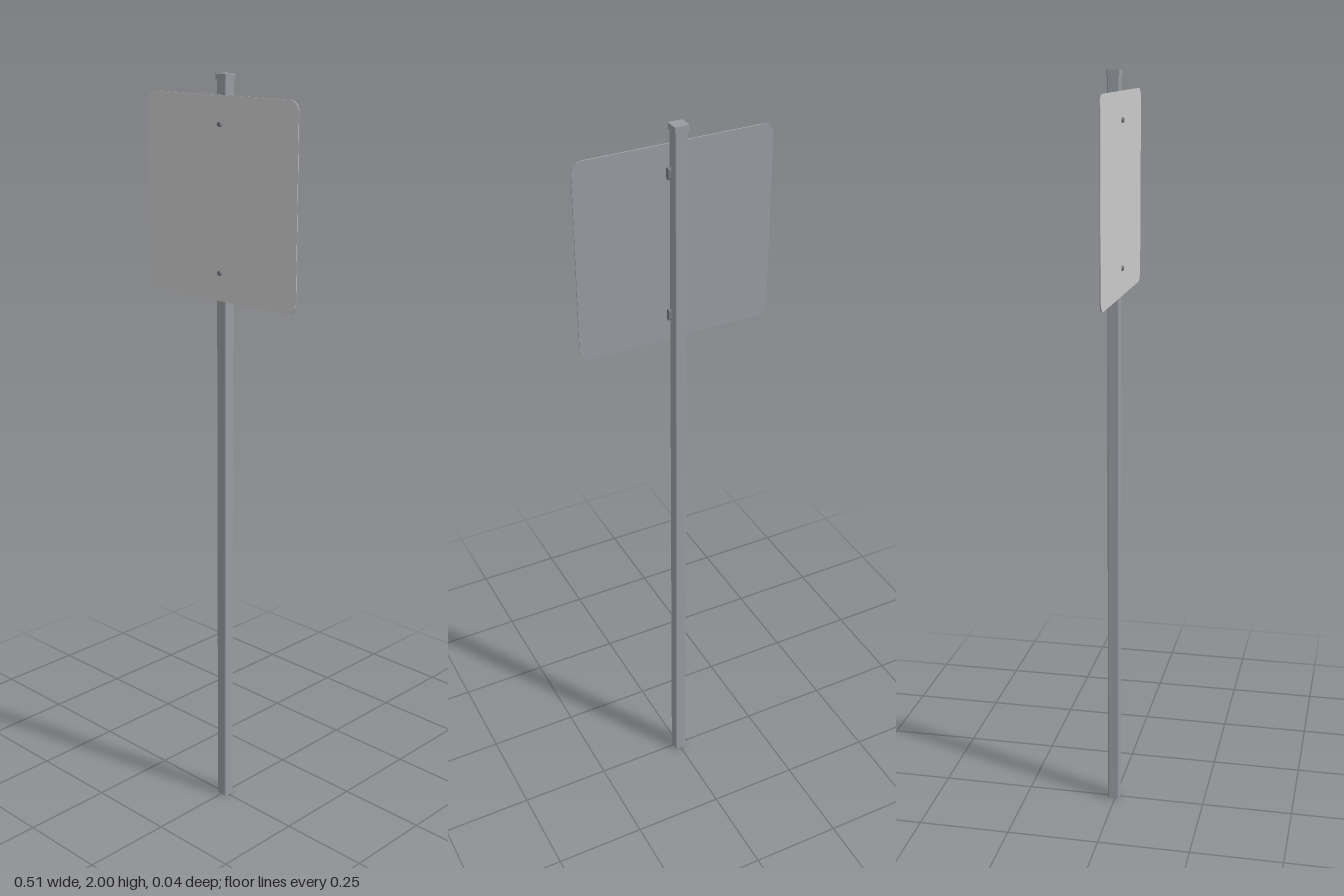
import * as THREE from 'three';

const mat = (name, color) => Object.assign(new THREE.MeshStandardMaterial({ color }), { name });

// Rectangle with rounded or (steps = 1) chamfered corners
function roundedRect(w, h, r) {
  const s = new THREE.Shape();
  const x = w / 2, y = h / 2;
  s.absarc(x - r, y - r, r, 0, Math.PI / 2);
  s.absarc(-x + r, y - r, r, Math.PI / 2, Math.PI);
  s.absarc(-x + r, -y + r, r, Math.PI, Math.PI * 1.5);
  s.absarc(x - r, -y + r, r, Math.PI * 1.5, Math.PI * 2);
  s.closePath();
  return s;
}

const slab = (w, h, r, depth, curveSegments) =>
  new THREE.ExtrudeGeometry(roundedRect(w, h, r), { depth, bevelEnabled: false, curveSegments });

export function createModel() {
  const steel = mat('galvanised steel', 0x989ca2);
  const face = mat('sign face grey', 0xcccccc);
  const bolt = mat('bolt steel', 0x777a82);
  const model = new THREE.Group();
  model.name = 'signPost';

  const add = (name, geometry, material, x = 0, y = 0, z = 0) => {
    const mesh = new THREE.Mesh(geometry, material);
    mesh.name = name;
    mesh.position.set(x, y, z);
    model.add(mesh);
    return mesh;
  };

  // Square tube post with softened corners, and its slightly wider cap
  const postZ = -0.004;
  add('post', slab(0.032, 0.032, 0.004, 1.985, 3).rotateX(-Math.PI / 2), steel, 0, 0, postZ);
  add('postCap', slab(0.037, 0.036, 0.003, 0.015, 3).rotateX(-Math.PI / 2), steel, 0, 1.985, postZ);

  // Sign plate: metal back and a thin coloured front sheet
  const signY = 1.695;
  add('signBack', slab(0.515, 0.51, 0.028, 0.002, 8), steel, 0, signY, 0.0125);
  add('signFace', slab(0.515, 0.51, 0.028, 0.001, 8), face, 0, signY, 0.0145);

  for (const y of [1.88, 1.512]) {
    // Bolt head on the front of the sign
    add('boltHead', new THREE.CylinderGeometry(0.006, 0.007, 0.005, 12).rotateX(Math.PI / 2),
      bolt, 0, y, 0.018);
    // Oval clamp lugs on both sides of the post
    for (const side of [-1, 1]) {
      const lug = add('clampLug', slab(0.012, 0.03, 0.0059, 0.008, 6).translate(0, 0, -0.004),
        bolt, side * 0.0195, y, 0.0065);
      lug.rotation.y = Math.PI / 2;
    }
  }
  return model;
}
